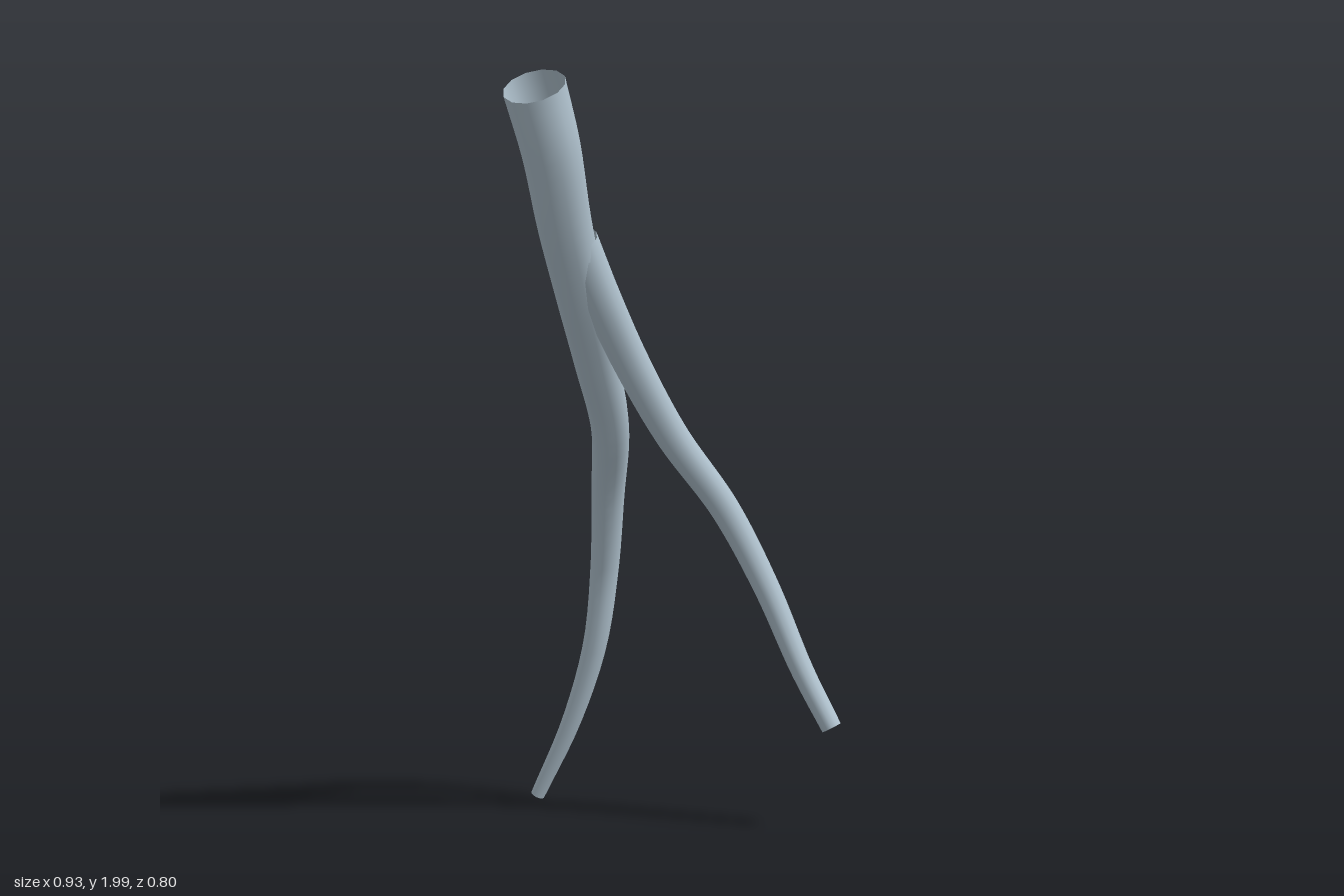
import * as THREE from 'three';

// Open tube along a smooth path, narrowing evenly from one end to the other
function taperedTube(name, points, startRadius, endRadius, material) {
  const curve = new THREE.CatmullRomCurve3(points.map(p => new THREE.Vector3(...p)), false, 'centripetal');
  const rings = 48, sides = 12;
  const geometry = new THREE.TubeGeometry(curve, rings, 1, sides, false);
  const pos = geometry.attributes.position;
  const v = new THREE.Vector3();
  for (let i = 0; i <= rings; i++) {
    const centre = curve.getPointAt(i / rings);
    const radius = THREE.MathUtils.lerp(startRadius, endRadius, i / rings);
    for (let j = 0; j <= sides; j++) {
      const k = i * (sides + 1) + j;
      v.fromBufferAttribute(pos, k).sub(centre).multiplyScalar(radius).add(centre);
      pos.setXYZ(k, v.x, v.y, v.z);
    }
  }
  const mesh = new THREE.Mesh(geometry, material);
  mesh.name = name;
  return mesh;
}

export function createModel() {
  const group = new THREE.Group();
  group.name = 'forkedTube';
  const paleBlueGrey = new THREE.MeshStandardMaterial({ color: 0xb0c2ce, side: THREE.DoubleSide });
  paleBlueGrey.name = 'paleBlueGrey';

  // Main tube, from the wide open top to the narrow rear foot
  group.add(taperedTube('mainTube', [
    [-0.395, 1.965, 0.203], [-0.332, 1.8, 0.195], [-0.25, 1.6, 0.155], [-0.145, 1.4, 0.1],
    [-0.025, 1.2, 0.03], [0.095, 1.0, -0.045], [0.178, 0.8, -0.14], [0.221, 0.6, -0.197],
    [0.226, 0.4, -0.237], [0.208, 0.2, -0.302], [0.175, 0.008, -0.386],
  ], 0.08, 0.017, paleBlueGrey));

  // Side branch, leaving the main tube and curving forward
  group.add(taperedTube('branchTube', [
    [-0.2, 1.54, 0.15], [-0.115, 1.38, 0.147], [-0.005, 1.2, 0.138], [0.125, 1.0, 0.145],
    [0.268, 0.8, 0.183], [0.353, 0.6, 0.24], [0.402, 0.4, 0.313], [0.438, 0.26, 0.38],
  ], 0.052, 0.025, paleBlueGrey));

  return group;
}
